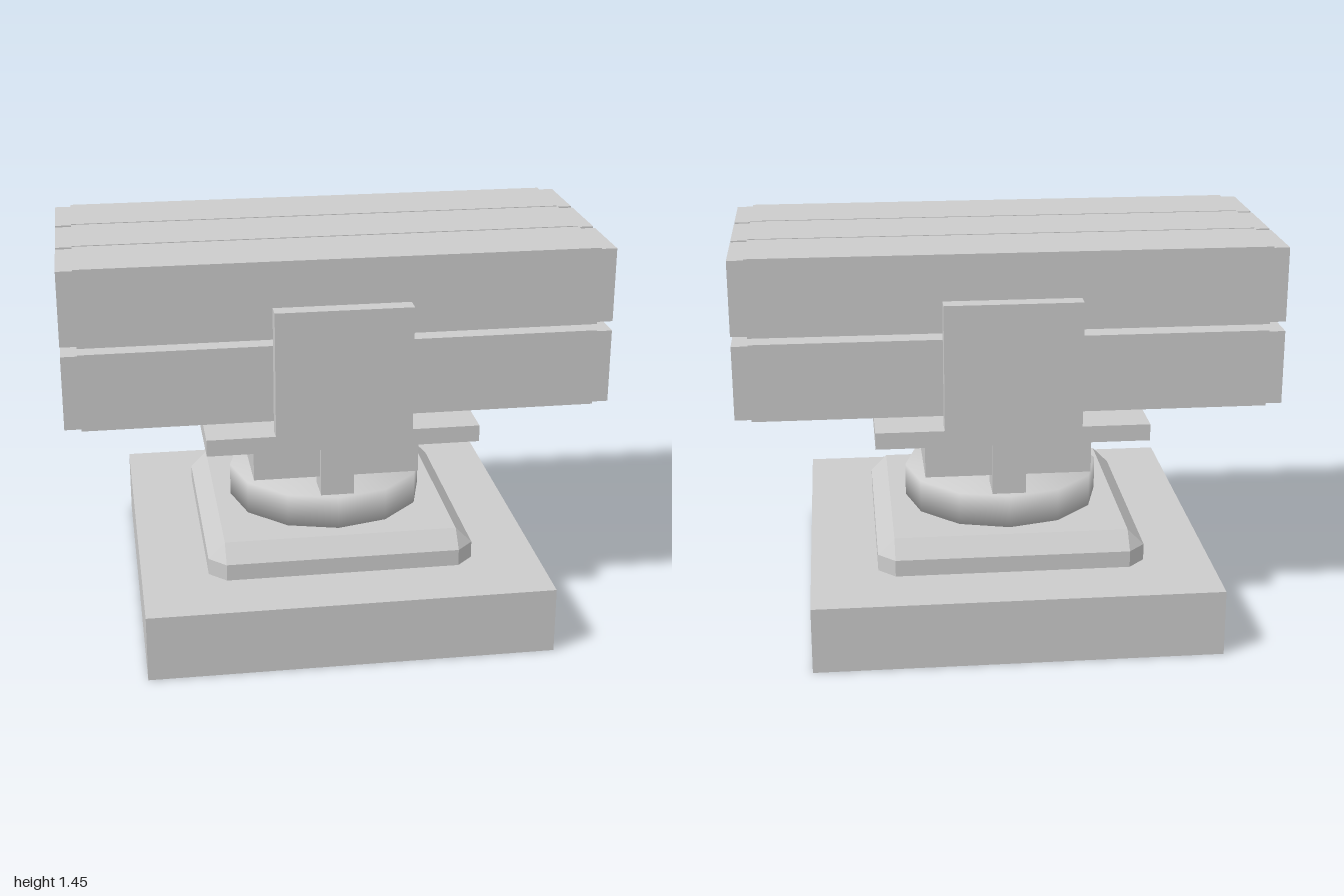
import * as THREE from 'three';
import { mergeVertices } from 'three/addons/utils/BufferGeometryUtils.js';
import { ConvexGeometry } from 'three/addons/geometries/ConvexGeometry.js';

export function createModel() {
  const model = new THREE.Group();
  model.name = 'launcherTurret';
  const grey = new THREE.MeshStandardMaterial({ color: 0xcccccc });
  grey.name = 'plain grey';

  const add = (name, geometry, x = 0, y = 0, z = 0) => {
    const mesh = new THREE.Mesh(geometry, grey);
    mesh.name = name;
    mesh.position.set(x, y, z);
    model.add(mesh);
  };
  // box spanning y0 to y1
  const box = (name, w, y0, y1, d, x = 0, z = 0) =>
    add(name, new THREE.BoxGeometry(w, y1 - y0, d), x, (y0 + y1) / 2, z);

  // foundation slab
  box('base', 1.5, 0, 0.25, 1.5);

  // plinth: clipped-corner footprint sloping in to a square top
  const points = [];
  for (const sx of [-1, 1]) for (const sz of [-1, 1]) {
    for (const y of [0.25, 0.313]) {
      points.push(new THREE.Vector3(sx * 0.5, y, sz * 0.4375));
      points.push(new THREE.Vector3(sx * 0.4375, y, sz * 0.5));
    }
    points.push(new THREE.Vector3(sx * 0.4375, 0.376, sz * 0.4375));
  }
  add('plinth', new ConvexGeometry(points));

  // turntable: twelve sides with normals smoothed over the rims
  let disc = new THREE.CylinderGeometry(0.375, 0.375, 0.125, 12);
  disc.deleteAttribute('normal');
  disc.deleteAttribute('uv');
  disc = mergeVertices(disc);
  disc.computeVertexNormals();
  add('turntable', disc, 0, 0.4385, 0);

  // pivot block and carrying platform
  box('pivotBlock', 0.625, 0.565, 0.755, 0.625);
  box('platform', 1, 0.753, 0.815, 1);

  // posts and cheek plates, front and back
  for (const s of [-1, 1]) {
    box('pivotPost', 0.125, 0.5, 0.722, 0.125, 0, s * 0.281);
    box('cheekPlate', 0.5, 0.787, 1.283, 0.0625, 0, s * 0.475);
  }

  // two rows of three launch pods, each with slightly smaller end caps
  for (const y of [0.997, 1.309]) for (const z of [-0.298, 0, 0.298]) {
    box('podBody', 1.88, y - 0.144, y + 0.144, 0.288, 0, z);
    for (const s of [-1, 1])
      box('podCap', 0.06, y - 0.138, y + 0.138, 0.276, s * 0.97, z);
  }
  return model;
}
